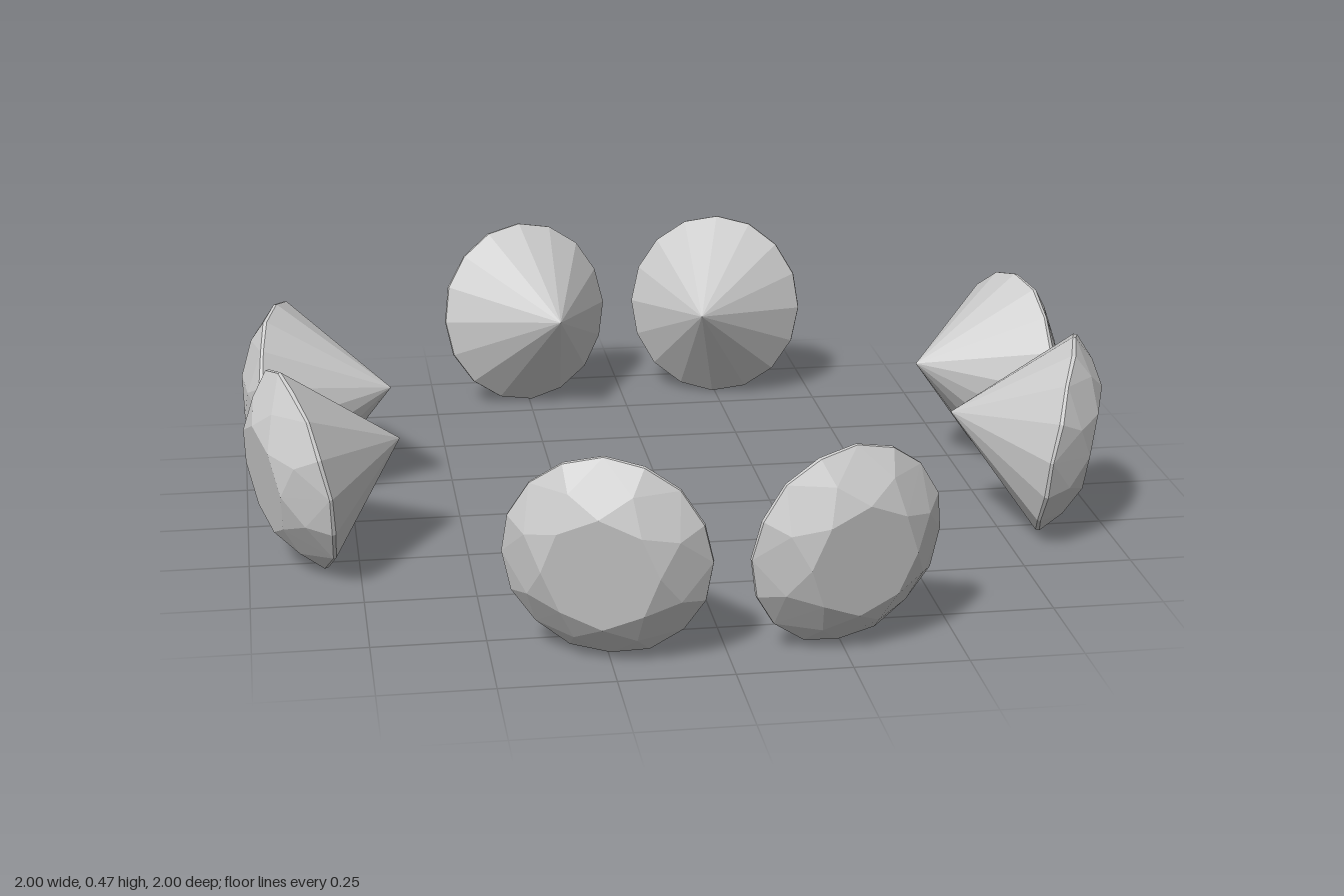
import * as THREE from 'three';

const RX = 0.225, RY = 0.235;       // girdle radii
const TABLE_H = 0.084, CULET = -0.248;

// Brilliant cut facing +z, girdle centred on the origin
function gemGeometry() {
  const out = [];
  // k counts sixteenths of a turn, f is the share of the girdle radius
  const pt = (k, f, z) => {
    const a = (k * Math.PI) / 8;
    return [RX * f * Math.cos(a), RY * f * Math.sin(a), z];
  };
  const tri = (a, b, c) => out.push(...a, ...b, ...c);
  const table = k => pt(k, 0.56, TABLE_H);
  const mid = k => pt(k, 0.79, 0.052);
  const girdle = k => pt(k, 1, k % 2 ? 0.007 : 0.002);
  const under = k => pt(k, 1, k % 2 ? -0.002 : -0.005);
  const top = [0, 0, TABLE_H], culet = [0, 0, CULET];

  // Crown: table, star, kite and upper girdle facets
  for (let k = 0; k < 16; k += 2) {
    tri(top, table(k), table(k + 2));
    tri(table(k), mid(k + 1), table(k + 2));
    tri(table(k), mid(k - 1), girdle(k));
    tri(table(k), girdle(k), mid(k + 1));
    tri(mid(k + 1), girdle(k), girdle(k + 1));
    tri(mid(k + 1), girdle(k + 1), girdle(k + 2));
  }
  // Thin girdle band and pointed pavilion
  for (let k = 0; k < 16; k++) {
    tri(girdle(k), under(k), under(k + 1));
    tri(girdle(k), under(k + 1), girdle(k + 1));
    tri(culet, under(k + 1), under(k));
  }
  const g = new THREE.BufferGeometry();
  g.setAttribute('position', new THREE.Float32BufferAttribute(out, 3));
  g.computeVertexNormals();
  return g;
}

export function createModel() {
  const model = new THREE.Group();
  model.name = 'gemRing';
  const geometry = gemGeometry();
  const material = new THREE.MeshStandardMaterial({ color: 0xcccccc, flatShading: true });
  const up = new THREE.Vector3(0, 1, 0);

  // A mirrored pair on each of the four sides, tables turned outward and slightly down
  for (let side = 0; side < 4; side++) {
    for (const m of [1, -1]) {
      const gem = new THREE.Mesh(geometry, material);
      gem.name = `gem${side * 2 + (m > 0 ? 1 : 2)}`;
      const turn = (side * Math.PI) / 2;
      const axis = new THREE.Vector3(m * 0.287, -0.15, 0.946).applyAxisAngle(up, turn);
      gem.position.set(m * 0.255, 0.233, 0.88).applyAxisAngle(up, turn);
      gem.lookAt(axis.add(gem.position));
      model.add(gem);
    }
  }
  return model;
}
